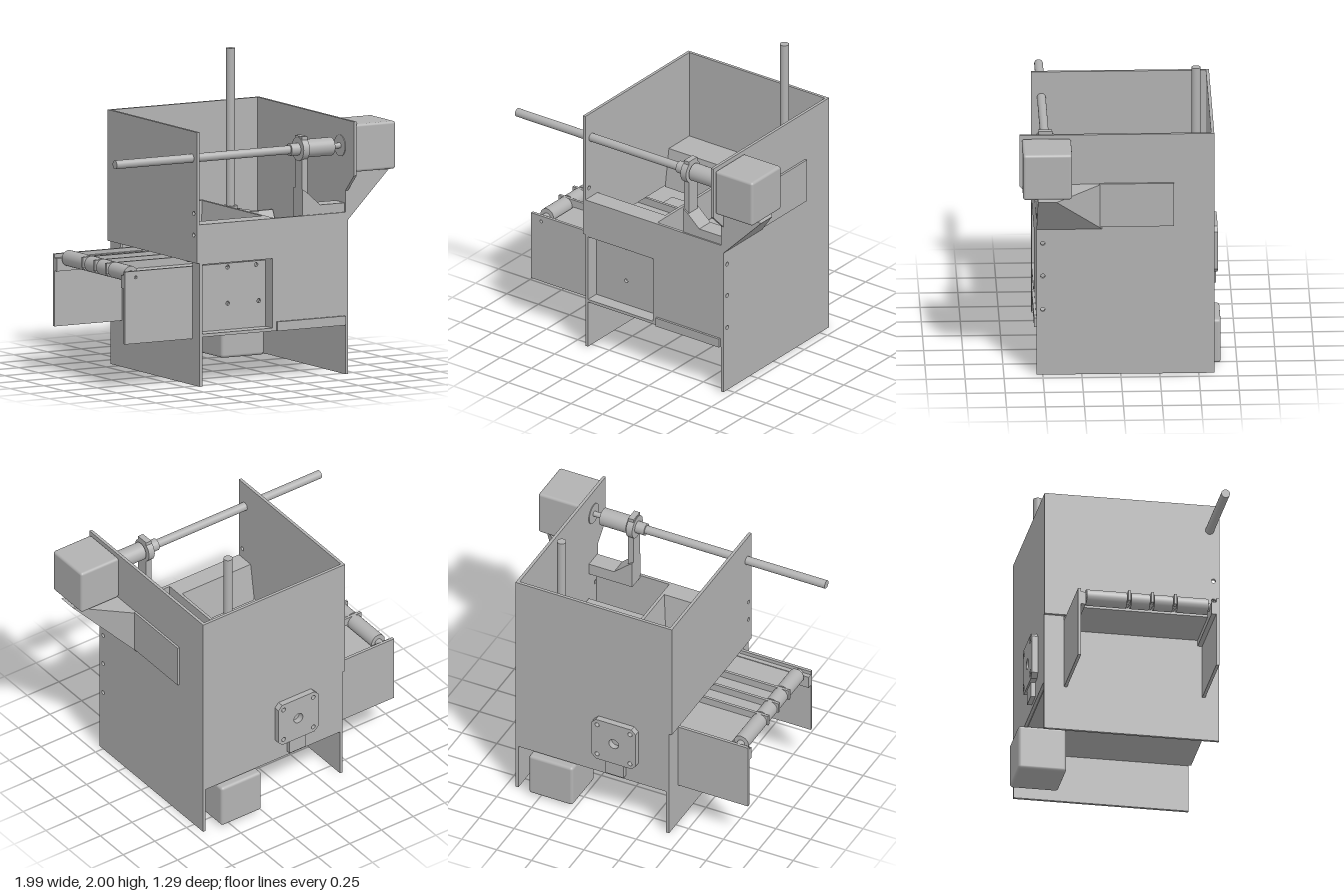
import * as THREE from 'three';
import { RoundedBoxGeometry } from 'three/addons/geometries/RoundedBoxGeometry.js';
import { ConvexGeometry } from 'three/addons/geometries/ConvexGeometry.js';

export function createModel() {
  const model = new THREE.Group();
  const grey = new THREE.MeshStandardMaterial({ color: 0xb2b2b2 });
  grey.name = 'plain grey';

  const add = (name, geometry) => {
    const mesh = new THREE.Mesh(geometry, grey);
    mesh.name = name;
    model.add(mesh);
    return mesh;
  };
  // Box given by its limits on each axis
  const box = (name, x0, x1, y0, y1, z0, z1, r = 0) => {
    const s = [x1 - x0, y1 - y0, z1 - z0];
    const g = r ? new RoundedBoxGeometry(...s, 3, r) : new THREE.BoxGeometry(...s);
    return add(name, g.translate((x0 + x1) / 2, (y0 + y1) / 2, (z0 + z1) / 2));
  };
  // Cylinder along an axis, from a to b, centred on the other two coordinates
  const rod = (name, axis, a, b, r, p, q) => {
    const g = new THREE.CylinderGeometry(r, r, b - a, 28);
    const m = (a + b) / 2;
    if (axis === 'x') g.rotateZ(Math.PI / 2).translate(m, p, q);
    else if (axis === 'y') g.translate(p, m, q);
    else g.rotateX(Math.PI / 2).translate(p, q, m);
    return add(name, g);
  };
  const outline = (points, holes = []) => {
    const shape = new THREE.Shape(points.map(p => new THREE.Vector2(...p)));
    for (const [u, v, r] of holes) shape.holes.push(new THREE.Path().absarc(u, v, r, 0, Math.PI * 2, true));
    return shape;
  };
  const extrude = (shape, depth) =>
    new THREE.ExtrudeGeometry(shape, { depth, bevelEnabled: false, curveSegments: 20 });
  // Plate drawn in (z, y), with its thickness along x
  const sidePlate = (name, points, x0, x1, holes) =>
    add(name, extrude(outline(points, holes), x1 - x0).rotateY(-Math.PI / 2).translate(x1, 0, 0));
  // Plate drawn in (x, y), with its thickness along z
  const frontPlate = (name, points, z0, z1, holes) =>
    add(name, extrude(outline(points, holes), z1 - z0).translate(0, 0, z0));

  // Cabinet walls
  sidePlate('leftSideWall', [[-0.6, 0], [0.54, 0], [0.54, 1.19], [0.65, 1.3], [0.65, 1.65], [-0.6, 1.65]],
    0.67, 0.69, [[0.5, 0.45, 0.014], [0.5, 0.68, 0.014], [0.5, 0.905, 0.014]]);
  sidePlate('rightSideWallUpper', [[-0.6, 0.8], [0.54, 0.8], [0.54, 1.65], [-0.6, 1.65]],
    -0.43, -0.41, [[0.5, 0.98, 0.014], [0.5, 1.12, 0.014]]);
  box('rightSideWallLower', -0.41, -0.39, 0, 0.7, -0.6, 0.54);
  for (const [z0, z1] of [[-0.6, -0.47], [0.45, 0.54]])
    box('rightSideWallCorner', -0.41, -0.39, 0.7, 0.82, z0, z1);
  box('backWall', -0.41, 0.67, 0.33, 1.65, -0.6, -0.58);
  box('floor', -0.39, 0.67, 0.32, 0.34, -0.58, 0.54);
  box('frontWallLow', 0.13, 0.67, 0.32, 1.05, 0.52, 0.54);
  box('frontWallUpper', -0.41, 0.13, 0.79, 1.05, 0.52, 0.54);
  box('frontLip', 0.16, 0.665, 0.32, 0.38, 0.54, 0.555);
  box('partition', 0.13, 0.15, 0.34, 1.05, -0.58, 0.52);

  // Hopper over the conveyor: two decks and three steep sides
  box('hopperDeckBack', -0.41, 0.13, 1.03, 1.05, -0.58, -0.36);
  box('hopperDeckFront', -0.41, 0.13, 1.03, 1.05, 0.41, 0.52);
  sidePlate('hopperSlopeBack', [[-0.38, 1.05], [-0.34, 0.79], [-0.32, 0.79], [-0.36, 1.05]], -0.41, 0.13);
  sidePlate('hopperSlopeFront', [[0.41, 1.05], [0.37, 0.79], [0.39, 0.79], [0.43, 1.05]], -0.41, 0.13);
  frontPlate('hopperSlopeSide', [[0.13, 1.05], [0.1, 0.79], [0.12, 0.79], [0.15, 1.05]], -0.36, 0.41);

  // Conveyor side plates, bed, rollers and rails
  frontPlate('conveyorFrontPlate', [[-0.91, 0.3], [-0.41, 0.3], [-0.41, 0.34], [0.13, 0.34], [0.13, 0.77], [-0.91, 0.77]],
    0.43, 0.45, [[-0.15, 0.51, 0.014], [0.08, 0.51, 0.014], [-0.15, 0.745, 0.014], [0.06, 0.745, 0.014], [-0.83, 0.73, 0.01]]);
  box('conveyorBackPlate', -0.91, -0.41, 0.3, 0.77, -0.47, -0.45);
  box('conveyorBackPlateInner', -0.41, 0.13, 0.34, 0.77, -0.47, -0.45);
  for (const [x, y] of [[-0.15, 0.51], [0.08, 0.51], [-0.15, 0.745], [0.06, 0.745]])
    add('screwRing', new THREE.RingGeometry(0.014, 0.026, 24).translate(x, y, 0.453));
  for (const [z0, z1] of [[-0.45, -0.42], [0.4, 0.43]])
    box('bearingLedge', -0.91, 0.13, 0.66, 0.745, z0, z1);
  box('conveyorBed', -0.77, 0, 0.7, 0.74, -0.42, 0.4);
  box('bedHatch', -0.34, -0.07, 0.74, 0.748, -0.3, -0.16);
  const rails = [-0.13, 0.02, 0.17];
  const ends = [-0.42, ...rails, 0.4];
  for (const x of [-0.83, 0.05]) {
    rod('rollerShaft', 'z', -0.45, 0.43, 0.025, x, 0.74);
    for (let i = 0; i < 4; i++)
      rod('roller', 'z', ends[i] + 0.014, ends[i + 1] - 0.014, 0.052, x, 0.743);
  }
  for (const z of rails) box('guideRail', -0.89, 0.1, 0.72, 0.79, z - 0.009, z + 0.009);

  // Lift: motor, lead screw, nut bracket and platform
  box('liftMotor', 0.26, 0.575, 0.02, 0.32, -0.645, -0.33, 0.02);
  rod('liftScrew', 'y', 0.32, 2, 0.029, 0.415, -0.49);
  box('liftPlatform', 0.16, 0.66, 0.83, 0.85, -0.33, 0.39);
  const nut = new THREE.Shape();
  nut.moveTo(0.28, 0.36).lineTo(0.33, 0.51);
  nut.absarc(0.415, 0.49, 0.088, Math.PI, 0, true);
  nut.lineTo(0.55, 0.36);
  add('liftNutBracket', extrude(nut, 0.03).rotateX(-Math.PI / 2).translate(0, 0.92, 0));
  rod('liftNut', 'y', 0.9, 0.98, 0.045, 0.415, -0.49);
  for (const [dx, dz] of [[0.06, 0], [-0.06, 0], [0, 0.06], [0, -0.06]])
    rod('nutScrew', 'y', 0.945, 0.957, 0.011, 0.415 + dx, -0.49 + dz);
  sidePlate('liftBackSlope', [[-0.34, 0.84], [-0.32, 0.84], [-0.37, 0.95], [-0.39, 0.95]], 0.16, 0.66);

  // Horizontal push rod with coupling and motor
  const py = 1.475, pz = 0.475;
  rod('pushRod', 'x', -1, 0.3, 0.028, py, pz);
  rod('rodNut', 'x', 0.29, 0.36, 0.04, py, pz);
  rod('nutFlange', 'x', 0.355, 0.4, 0.077, py, pz);
  rod('coupling', 'x', 0.41, 0.6, 0.059, py, pz);
  rod('motorShaft', 'x', 0.6, 0.69, 0.018, py, pz);
  rod('motorBoss', 'x', 0.665, 0.672, 0.07, py, pz);
  box('pushMotor', 0.69, 0.99, 1.32, 1.63, 0.32, 0.635, 0.018);

  // Upright bracket for the push rod
  box('bracketUpright', 0.36, 0.4, 1.04, 1.56, 0.43, 0.52);
  frontPlate('bracketFoot', [[0.36, 1.03], [0.67, 1.03], [0.67, 1.11], [0.49, 1.11], [0.4, 1.19], [0.36, 1.22]], 0.41, 0.53);

  // Motor support wedge and flat strip on the outer wall
  add('motorSupport', new ConvexGeometry([
    [0.69, 1, 0.12], [0.69, 1.31, 0.12], [0.99, 1.305, 0.42],
    [0.69, 1, 0.54], [0.69, 1.31, 0.54], [0.99, 1.305, 0.54],
  ].map(p => new THREE.Vector3(...p))));
  box('supportStrip', 0.69, 0.705, 1.02, 1.315, -0.34, 0.14);

  // Conveyor motor mount on the back wall
  const c = 0.03, x0 = -0.19, x1 = 0.125, y0 = 0.46, y1 = 0.775;
  const corners = [];
  for (const x of [-0.15, 0.085]) for (const y of [0.5, 0.735]) corners.push([x, y, 0.016]);
  frontPlate('motorMount', [[x0 + c, y0], [x1 - c, y0], [x1, y0 + c], [x1, y1 - c],
    [x1 - c, y1], [x0 + c, y1], [x0, y1 - c], [x0, y0 + c]], -0.64, -0.6, [...corners, [-0.033, 0.618, 0.035]]);
  for (const [x, y] of corners) {
    const ring = add('mountScrew', new THREE.RingGeometry(0.016, 0.028, 24).rotateY(Math.PI));
    ring.position.set(x, y, -0.643);
  }
  box('motorConnector', -0.1, 0.03, 0.36, 0.46, -0.63, -0.6);

  return model;
}
